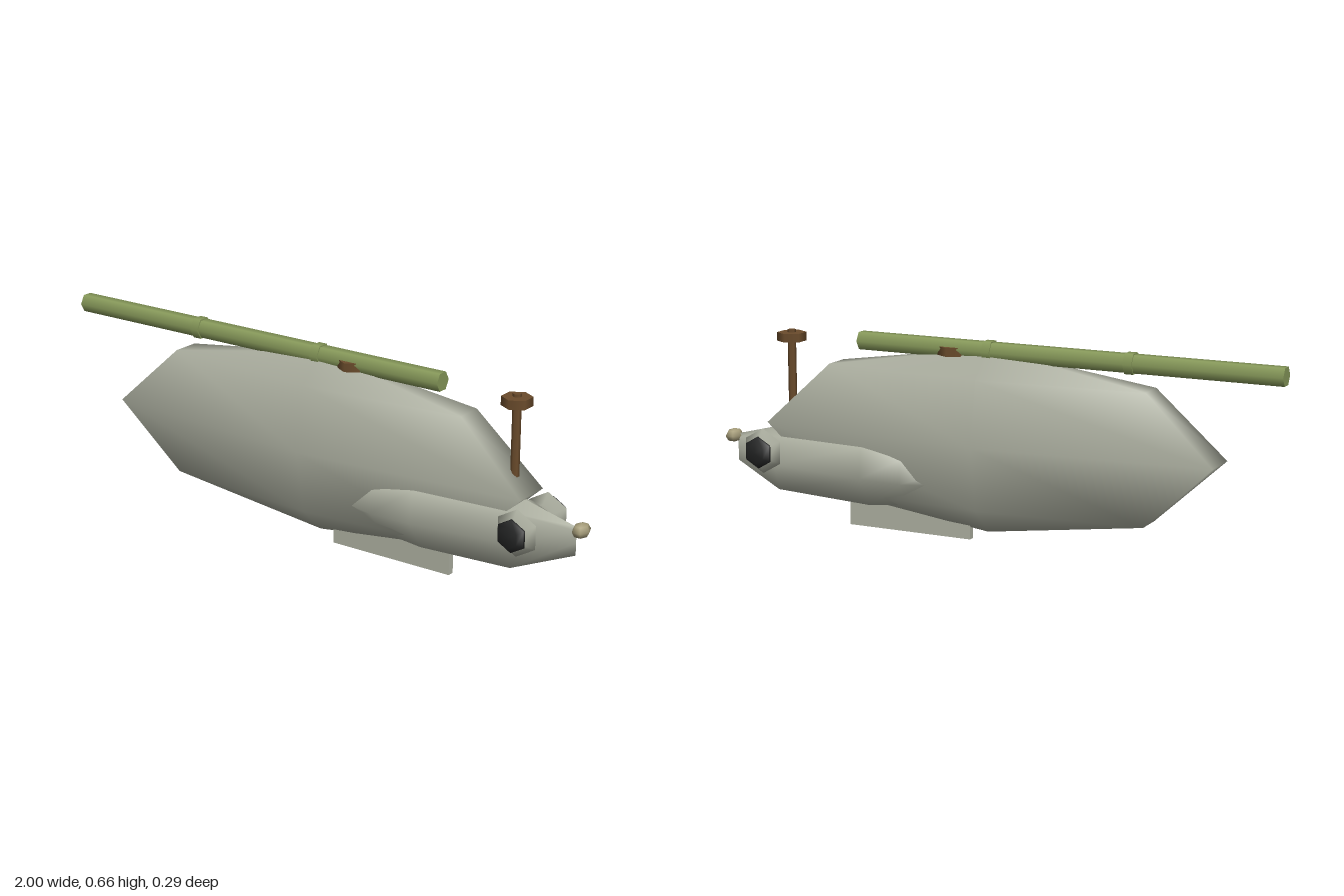
import * as THREE from 'three';

const mat = (name, color) => {
  const m = new THREE.MeshStandardMaterial({ color });
  m.name = name;
  return m;
};

export function createModel() {
  const grey = mat('hullGrey', 0xaeb1a2);
  const green = mat('tubeGreen', 0x87995a);
  const brown = mat('woodBrown', 0x6b4c2c);
  const black = mat('lensBlack', 0x222323);
  const tan = mat('noseTan', 0xa69d7a);

  const root = new THREE.Group();
  root.name = 'whaleShip';
  const add = (name, geo, material, x = 0, y = 0, z = 0, parent = root) => {
    const m = new THREE.Mesh(geo, material);
    m.name = name;
    m.position.set(x, y, z);
    parent.add(m);
    return m;
  };

  // Six-sided hull with flattened ends
  const hull = new THREE.SphereGeometry(1, 6, 4);
  hull.rotateY(Math.PI / 6);
  hull.scale(0.918, 0.304, 0.131);
  add('hull', hull, grey, 0, 0.335, 0);

  // Head: cross-sections along x, narrowing to an upright edge at the snout
  // x, bottom, top, shoulder height, half width, shoulder ratio, belly ratio
  const sections = [
    [0.15, 0.15, 0.24, 0.22, 0.08, 0.8, 0.6],
    [0.27, 0.1, 0.31, 0.265, 0.107, 0.88, 0.4],
    [0.42, 0.082, 0.32, 0.288, 0.109, 0.85, 0.35],
    [0.76, 0.104, 0.318, 0.288, 0.087, 0.72, 0.65],
    [0.955, 0.175, 0.268, 0.255, 0, 0.7, 0.6],
  ];
  const pos = [], idx = [];
  sections.forEach(([x, yb, yt, ys, hw, s, b], i) => {
    const half = [[ys, hw * s], [yb + (ys - yb) * 0.5, hw], [yb, hw * b]];
    const ring = [[yt, 0], ...half, [yb, 0], ...half.slice().reverse().map(([y, z]) => [y, -z])];
    ring.forEach(([y, z], j) => {
      pos.push(x, y, z);
      if (i === sections.length - 1) return;
      const k = (j + 1) % 8, p = i * 8, q = p + 8;
      idx.push(p + j, p + k, q + j, p + k, q + k, q + j);
    });
  });
  const head = new THREE.BufferGeometry();
  head.setAttribute('position', new THREE.Float32BufferAttribute(pos, 3));
  head.setIndex(idx);
  head.computeVertexNormals();
  add('head', head, grey);

  // Nose knob
  const nose = new THREE.SphereGeometry(1, 6, 4);
  nose.scale(0.028, 0.024, 0.038);
  add('nose', nose, tan, 0.971, 0.261, 0);

  // Eyes: hexagonal mounts with dark lenses, mirrored
  for (const side of [1, -1]) {
    const eye = new THREE.Group();
    eye.name = side > 0 ? 'leftEye' : 'rightEye';
    eye.position.set(0.8, 0.24, side * 0.09);
    if (side < 0) eye.rotation.y = Math.PI;
    root.add(eye);
    const ball = new THREE.SphereGeometry(1, 6, 4);
    ball.rotateY(Math.PI / 6);
    ball.rotateX(Math.PI / 2);
    ball.rotateZ(0);
    const mount = new THREE.LatheGeometry([[0, -0.033], [0.045, -0.03], [0.077, 0], [0.042, 0.028], [0, 0.03]]
      .map(([r, h]) => new THREE.Vector2(r, h)), 6);
    mount.rotateX(Math.PI / 2);
    add('eyeMount', mount, grey, 0, 0, 0, eye);
    const lens = new THREE.LatheGeometry([[0, 0.012], [0.036, 0.015], [0.055, 0.03], [0.052, 0.035], [0.035, 0.052], [0, 0.053]]
      .map(([r, h]) => new THREE.Vector2(r, h)), 6);
    lens.rotateX(Math.PI / 2);
    add('lens', lens, black, 0, 0, 0, eye);
  }

  // Keel fin
  add('keel', new THREE.BoxGeometry(0.45, 0.15, 0.023), grey, 0.285, 0.075, 0);

  // Tube along the back with two bands
  const alongX = (r, len) => new THREE.CylinderGeometry(r, r, len, 6).rotateZ(Math.PI / 2);
  add('backTube', alongX(0.033, 1.466), green, -0.267, 0.63, 0);
  for (const x of [-0.495, -0.005]) add('tubeBand', alongX(0.0375, 0.03), green, x, 0.63, 0);

  // Capped posts; the middle one is mostly sunk into the hull
  for (const [x, y] of [[0.733, 0], [0.127, 0]]) {
    const post = new THREE.Group();
    post.name = 'post';
    post.position.set(x, y, 0);
    root.add(post);
    add('shaft', new THREE.CylinderGeometry(0.014, 0.014, 0.315, 6), brown, 0, 0.4885, 0, post);
    add('postCap', new THREE.CylinderGeometry(0.049, 0.049, 0.029, 6), brown, 0, 0.622, 0, post);
  }
  return root;
}
